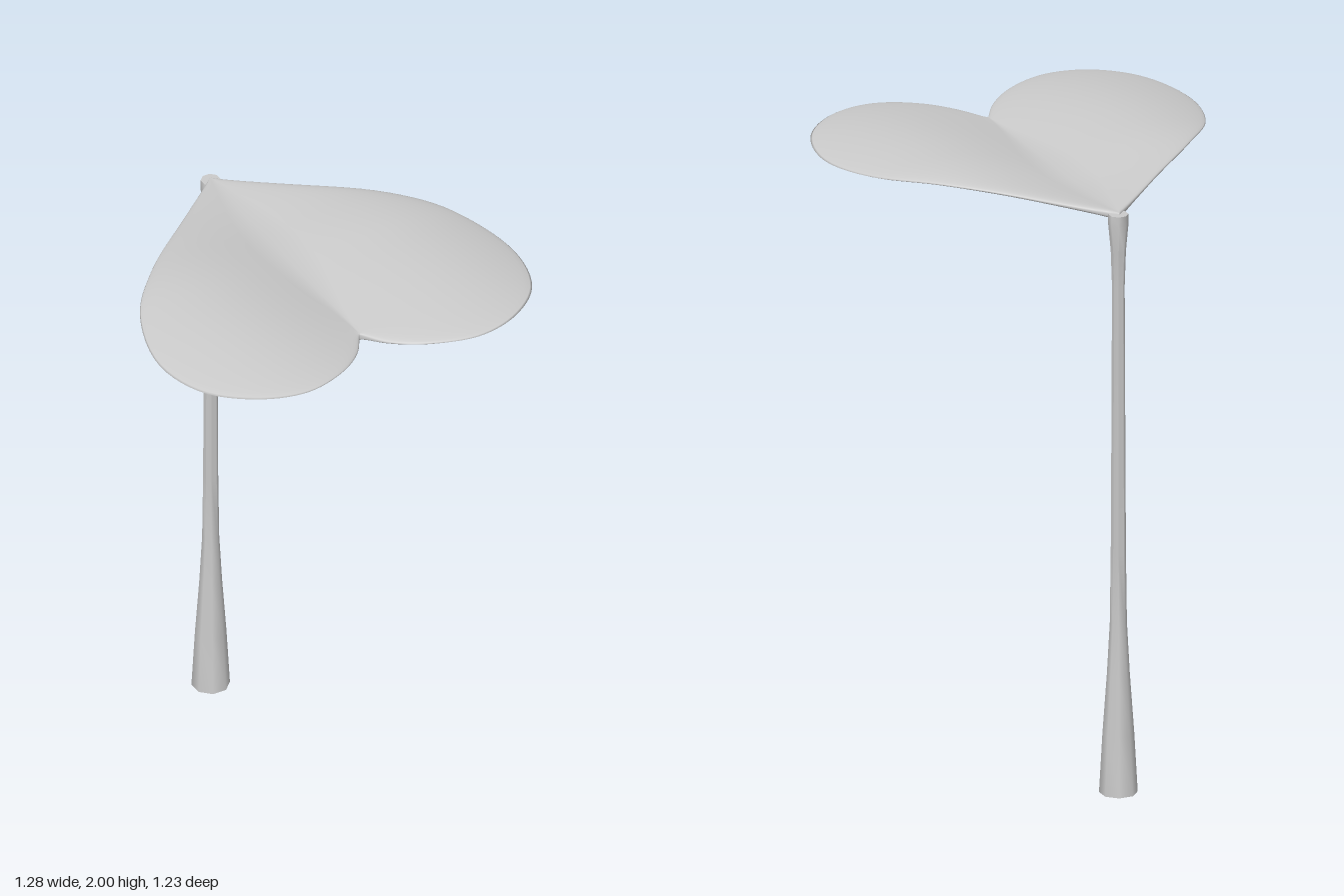
import * as THREE from 'three';
import { toCreasedNormals } from 'three/addons/utils/BufferGeometryUtils.js';

const STEM_Z = -0.558;
const material = new THREE.MeshStandardMaterial({ color: 0xcccccc });

// Eight-sided stem: flared foot, slim shaft, slightly widened top
function makeStem() {
  const profile = [
    [0, 0], [0.061, 0], [0.05, 0.2], [0.036, 0.4], [0.027, 0.57], [0.024, 0.8],
    [0.022, 1.2], [0.02, 1.7], [0.024, 1.82], [0.032, 1.91], [0.032, 1.943], [0, 1.943],
  ].map(([r, y]) => new THREE.Vector2(r, y));
  const lathe = new THREE.LatheGeometry(profile, 8, Math.PI / 8);
  const stem = new THREE.Mesh(toCreasedNormals(lathe, 1.0), material);
  stem.name = 'stem';
  stem.position.z = STEM_Z;
  return stem;
}

// Mid-surface height of the blade: low midrib, arched lobes, drooping rim
function bladeHeight(x, z) {
  const u = Math.abs(x);
  const rise = 0.5 + 0.5 * THREE.MathUtils.smoothstep(z, -0.56, 0);
  const droop = 1 - 1.8 * Math.max(0, z - 0.1) ** 2;
  const tipLift = 0.008 * (1 - THREE.MathUtils.smoothstep(z, -0.56, -0.2));
  return 1.928 + tipLift + 0.06 * Math.sin((Math.PI * u) / 0.72) * rise * droop;
}

// Heart-shaped blade: closed cross-sections fanned out from the midrib to the rim
function makeBlade() {
  const rim = new THREE.CatmullRomCurve3([
    [0, -0.565], [0.21, -0.375], [0.43, -0.175], [0.57, 0], [0.638, 0.25], [0.585, 0.46],
    [0.45, 0.58], [0.305, 0.613], [0.16, 0.565], [0.06, 0.485], [0, 0.395],
  ].map(([x, z]) => new THREE.Vector3(x, 0, z)));
  const rows = 60, ring = 48, halfThickness = 0.013;
  const positions = [], index = [];
  for (let i = 0; i <= rows; i++) {
    const s = i / rows;
    const edge = rim.getPoint(s);
    const ribZ = THREE.MathUtils.lerp(-0.565, 0.395, s);
    for (let j = 0; j < ring; j++) {
      const a = (j / ring) * Math.PI * 2;
      const t = Math.sin(a), c = Math.cos(a);
      const x = edge.x * t;
      const z = THREE.MathUtils.lerp(ribZ, edge.z, Math.abs(t));
      const offset = halfThickness * Math.sign(c) * Math.abs(c) ** 0.8;
      positions.push(x, bladeHeight(x, z) + offset, z);
      if (i < rows) {
        const p = i * ring + j, q = i * ring + ((j + 1) % ring);
        index.push(p, p + ring, q, q, p + ring, q + ring);
      }
    }
  }
  const geometry = new THREE.BufferGeometry();
  geometry.setAttribute('position', new THREE.Float32BufferAttribute(positions, 3));
  geometry.setIndex(index);
  geometry.computeVertexNormals();
  const blade = new THREE.Mesh(geometry, material);
  blade.name = 'leafBlade';
  return blade;
}

export function createModel() {
  const group = new THREE.Group();
  group.name = 'leafOnStem';
  group.add(makeStem(), makeBlade());
  return group;
}
